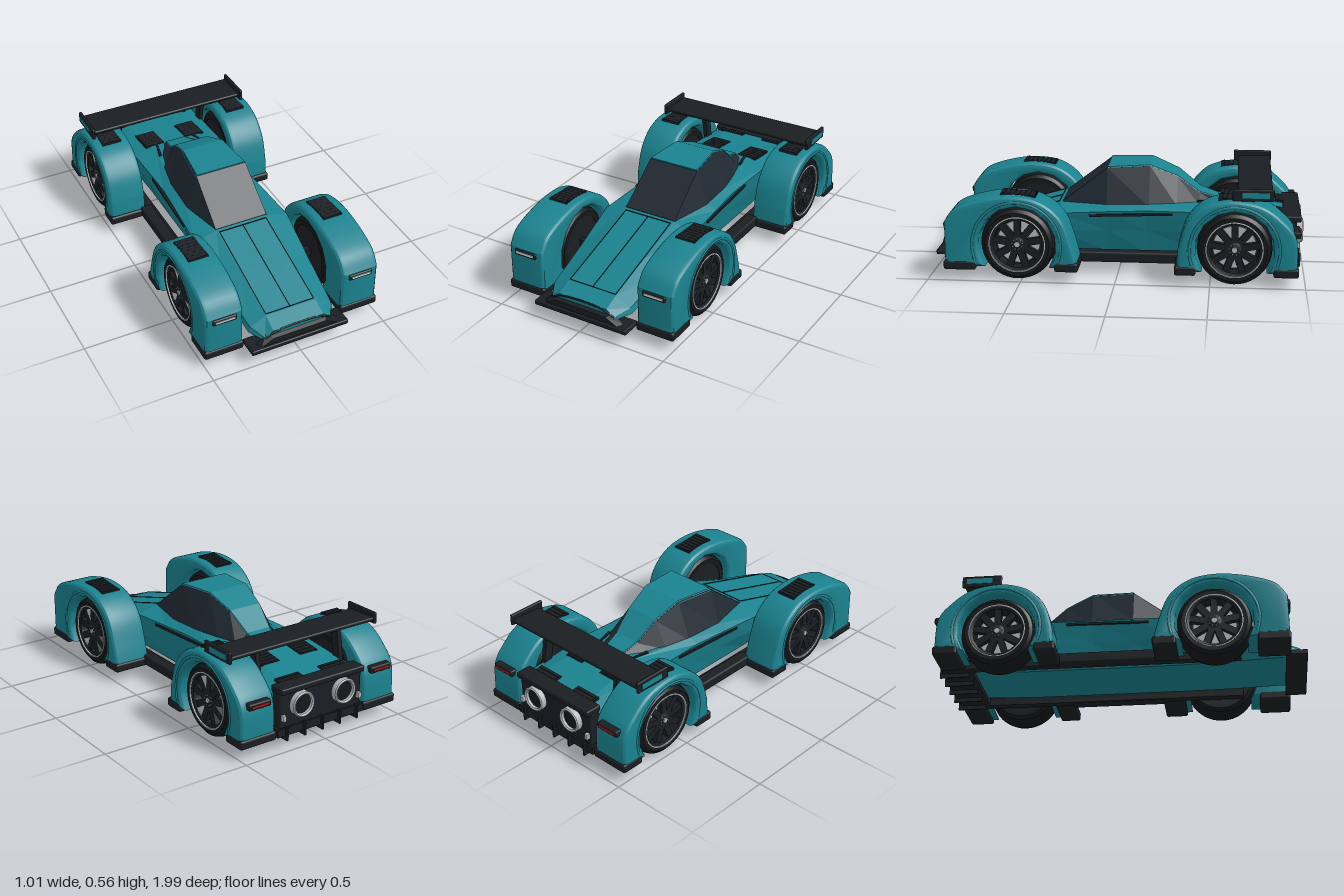
import * as THREE from 'three';
import { toCreasedNormals } from 'three/addons/utils/BufferGeometryUtils.js';
import { RoundedBoxGeometry } from 'three/addons/geometries/RoundedBoxGeometry.js';

const mat = (color, side = THREE.FrontSide) => new THREE.MeshStandardMaterial({ color, side });
const TEAL = mat(0x1a828f), DARK = mat(0x1a1e22), GLASS = mat(0x202932), TYRE = mat(0x15171a);
const METAL = mat(0xb4b8bb), LIGHT = mat(0xdfeaee), RED = mat(0xc01f24);

function add(parent, name, geo, material, x = 0, y = 0, z = 0) {
  const m = new THREE.Mesh(geo, material);
  m.name = name;
  m.position.set(x, y, z);
  parent.add(m);
  return m;
}

// Box given by its limits on each axis
function box(parent, name, material, [x0, x1], [y0, y1], [z0, z1], r = 0) {
  const s = [x1 - x0, y1 - y0, z1 - z0];
  const geo = r ? new RoundedBoxGeometry(...s, 2, r) : new THREE.BoxGeometry(...s);
  return add(parent, name, geo, material, (x0 + x1) / 2, (y0 + y1) / 2, (z0 + z1) / 2);
}

// Straight bar between two points
function bar(parent, name, material, a, b, w, h) {
  const p = new THREE.Vector3(...a), q = new THREE.Vector3(...b);
  const m = add(parent, name, new THREE.BoxGeometry(w, h, p.distanceTo(q)), material);
  m.position.copy(p).lerp(q, 0.5);
  m.lookAt(q);
  return m;
}

// Faceted loft through mirrored half sections, front to back: [z, [x, y], ...] from bottom to top
function loft(sections) {
  const rings = sections.map(([z, ...half]) =>
    [...half, ...half.slice().reverse().map(([x, y]) => [-x, y])].map(([x, y]) => [x, y, z]));
  const n = rings[0].length, pos = [];
  const tri = (...p) => p.forEach(v => pos.push(...v));
  for (let s = 0; s < rings.length - 1; s++) {
    for (let i = 0; i < n; i++) {
      const a = rings[s], b = rings[s + 1], j = (i + 1) % n;
      tri(a[i], b[i], a[j]);
      tri(a[j], b[i], b[j]);
    }
  }
  const f = rings[0], e = rings[rings.length - 1];
  for (let i = 1; i < n - 1; i++) {
    tri(f[0], f[i], f[i + 1]);
    tri(e[0], e[i + 1], e[i]);
  }
  const g = new THREE.BufferGeometry();
  g.setAttribute('position', new THREE.Float32BufferAttribute(pos, 3));
  g.computeVertexNormals();
  return g;
}

// Fender: closed arch profile in (z, y), extruded across x
const WHEEL = { front: 0.52, rear: -0.626 };
const PROFILE = {
  front: [[0.906, 0.08], [0.906, 0.32], [0.84, 0.4], [0.68, 0.452], [0.52, 0.466], [0.385, 0.435], [0.28, 0.345], [0.225, 0.2], [0.195, 0.08]],
  rear: [[-0.955, 0.08], [-0.945, 0.27], [-0.87, 0.37], [-0.77, 0.44], [-0.65, 0.466], [-0.55, 0.46], [-0.45, 0.42], [-0.37, 0.33], [-0.33, 0.2], [-0.322, 0.08]],
};

function fenderGeometry(end) {
  const pts = PROFILE[end].map(p => new THREE.Vector2(...p));
  if (end === 'rear') pts.reverse();
  const cz = WHEEL[end], r = 0.208, a = Math.asin(0.12 / r), w = 0.217, b = 0.026;
  const s = new THREE.Shape();
  s.moveTo(pts[0].x, pts[0].y);
  s.lineTo(pts[1].x, pts[1].y);
  s.splineThru(pts.slice(2));
  s.absarc(cz, 0.2, r, Math.PI + a, -a, true);
  s.closePath();
  const g = new THREE.ExtrudeGeometry(s, { depth: w - 2 * b, bevelThickness: b, bevelSize: b, bevelOffset: -b, bevelSegments: 3, curveSegments: 5 });
  g.rotateY(-Math.PI / 2).translate(0.502 - b, 0, 0);
  return toCreasedNormals(g, 0.45);
}

// Height and slope on a fender crown
function crown(end, z) {
  const curve = new THREE.SplineCurve(PROFILE[end].slice(1).map(p => new THREE.Vector2(...p)));
  const p = curve.getPoints(200);
  let i = 1;
  p.forEach((v, k) => { if (k < 200 && Math.abs(v.x - z) < Math.abs(p[i].x - z)) i = k; });
  const d = p[i + 1].clone().sub(p[i]);
  return { y: p[i].y, tilt: -Math.atan(d.y / d.x) };
}

// Wheel facing +x
function wheel() {
  const g = new THREE.Group();
  const lathe = (name, pts, m) => {
    const geo = new THREE.LatheGeometry(pts.map(p => new THREE.Vector2(...p)), 40);
    return add(g, name, toCreasedNormals(geo.rotateZ(-Math.PI / 2), 0.6), m);
  };
  lathe('tyre', [[0.145, -0.084], [0.172, -0.085], [0.19, -0.07], [0.197, -0.045], [0.197, 0.045], [0.19, 0.07], [0.172, 0.085], [0.15, 0.084], [0.145, 0.07], [0.145, -0.084]], TYRE);
  lathe('rimLip', [[0.144, 0.06], [0.151, 0.06], [0.151, 0.086], [0.144, 0.088], [0.144, 0.06]], METAL);
  lathe('rimBarrel', [[0, -0.08], [0.146, -0.08], [0.146, 0.08], [0.13, 0.074], [0.126, 0.01], [0, 0.01]], DARK);
  lathe('brakeDisc', [[0.115, 0.005], [0.115, 0.025], [0.05, 0.025], [0, 0.025]], METAL);
  lathe('hub', [[0.045, 0.02], [0.042, 0.068], [0.03, 0.076], [0, 0.076]], DARK);
  lathe('hubNut', [[0.014, 0.07], [0.014, 0.082], [0, 0.082]], METAL);
  for (let i = 0; i < 9; i++) {
    const spoke = new THREE.Group();
    spoke.name = 'spoke';
    spoke.rotation.x = i * Math.PI * 2 / 9;
    add(spoke, 'spokeArm', new THREE.BoxGeometry(0.03, 0.125, 0.036), DARK, 0.056, 0.08, 0);
    add(spoke, 'wheelBolt', new THREE.SphereGeometry(0.004, 8, 6), METAL, 0.076, 0.028, 0);
    g.add(spoke);
  }
  return g;
}

// Slatted vent set into a surface
function louvre(parent, name, w, l, slats, x, y, z, tilt) {
  const g = new THREE.Group();
  g.name = name;
  g.position.set(x, y, z);
  g.rotation.x = tilt;
  add(g, 'ventFrame', new THREE.BoxGeometry(w, 0.014, l), DARK);
  for (let i = 0; i < slats; i++)
    add(g, 'ventSlat', new THREE.BoxGeometry(w * 0.9, 0.004, l / slats * 0.6), DARK, 0, 0.007, (i + 0.5) * l / slats - l / 2).rotation.x = 0.2;
  parent.add(g);
}

// Everything that repeats on the left (+x) side
function sideParts() {
  const g = new THREE.Group();
  for (const end of ['front', 'rear']) {
    const cz = WHEEL[end];
    const f = new THREE.Group();
    f.name = end + 'Corner';
    g.add(f);
    add(f, end + 'Fender', fenderGeometry(end), TEAL);
    const lip = add(f, 'archLip', new THREE.TorusGeometry(0.236, 0.009, 6, 32, Math.PI * 1.22), TEAL, 0.498, 0.2, cz);
    lip.rotation.set(0, Math.PI / 2, 0);
    lip.geometry.rotateZ(-Math.PI * 0.11);
    const w = wheel();
    w.name = end + 'Wheel';
    w.position.set(0.39, 0.2, cz);
    f.add(w);
    const skirts = end === 'front' ? [[0.74, 0.912], [0.195, 0.32]] : [[-0.962, -0.83], [-0.425, -0.312]];
    skirts.forEach(z => box(f, 'fenderSkirt', DARK, [0.284, 0.505], [0.062, 0.112], z, 0.012));
    const vz = end === 'front' ? 0.515 : -0.63, c = crown(end, vz);
    louvre(f, 'fenderVent', 0.112, 0.185, 7, 0.392, c.y - 0.006, vz, c.tilt);
    bar(f, 'axle', DARK, [0.15, 0.2, cz], [0.33, 0.2, cz], 0.04, 0.04);
  }
  // Lamps
  box(g, 'headlightHousing', DARK, [0.325, 0.46], [0.28, 0.313], [0.88, 0.915], 0.008);
  box(g, 'headlightStrip', LIGHT, [0.339, 0.447], [0.292, 0.303], [0.9, 0.919]);
  box(g, 'tailLightHousing', DARK, [0.325, 0.46], [0.265, 0.3], [-0.968, -0.92], 0.008);
  box(g, 'tailLightStrip', RED, [0.339, 0.447], [0.277, 0.288], [-0.973, -0.94]);
  // Sills and door crease
  box(g, 'outerSill', DARK, [0.25, 0.318], [0.067, 0.125], [-0.33, 0.23], 0.01);
  box(g, 'innerSill', DARK, [0.235, 0.283], [0.07, 0.112], [-0.82, 0.65]);
  bar(g, 'doorCrease', DARK, [0.265, 0.312, 0.16], [0.251, 0.325, -0.29], 0.012, 0.012);
  // Wing end plate and post
  box(g, 'wingEndPlate', DARK, [0.46, 0.478], [0.465, 0.528], [-0.825, -0.61], 0.006);
  box(g, 'endPlateInset', TEAL, [0.475, 0.481], [0.482, 0.512], [-0.8, -0.66]);
  bar(g, 'wingPost', DARK, [0.265, 0.12, -0.8], [0.265, 0.485, -0.74], 0.024, 0.05);
  // Exhaust
  const ring = [[0.035, -0.03], [0.066, -0.06], [0.068, 0.014], [0.062, 0.02], [0.053, 0.014], [0.049, -0.05]];
  const pipe = new THREE.LatheGeometry(ring.map(p => new THREE.Vector2(...p)), 32).rotateX(-Math.PI / 2);
  add(g, 'exhaustRing', toCreasedNormals(pipe, 0.6), mat(0xb4b8bb, THREE.DoubleSide), 0.135, 0.226, -0.972);
  add(g, 'exhaustBore', new THREE.CylinderGeometry(0.054, 0.054, 0.02, 24).rotateX(Math.PI / 2), TYRE, 0.135, 0.226, -0.962);
  box(g, 'rearMarker', METAL, [0.235, 0.255], [0.155, 0.185], [-0.975, -0.955]);
  // Deck vents and hood seam
  louvre(g, 'deckVent', 0.115, 0.16, 6, 0.125, 0.352, -0.62, -0.13);
  louvre(g, 'rearDeckVent', 0.15, 0.05, 2, 0.14, 0.326, -0.87, -0.13);
  bar(g, 'deckSeam', DARK, [0.145, 0.374, -0.42], [0.115, 0.364, -0.54], 0.014, 0.012);
  [[0.335, 0.357, 0.6, 0.281], [0.6, 0.281, 0.87, 0.204]].forEach(([z0, y0, z1, y1]) =>
    bar(g, 'hoodSeam', DARK, [0.14, y0, z0], [0.14, y1, z1], 0.003, 0.006));
  return g;
}

export function createModel() {
  const car = new THREE.Group();
  car.name = 'raceCar';

  // Faceted central body over a narrow flat floor
  add(car, 'body', loft([
    [0.965, [0.18, 0.1], [0.195, 0.12], [0.19, 0.135], [0.145, 0.168]],
    [0.88, [0.19, 0.1], [0.245, 0.13], [0.235, 0.16], [0.145, 0.201]],
    [0.6, [0.185, 0.09], [0.25, 0.17], [0.257, 0.235], [0.146, 0.28]],
    [0.32, [0.18, 0.085], [0.255, 0.22], [0.278, 0.325], [0.15, 0.36]],
    [0.06, [0.18, 0.085], [0.225, 0.22], [0.262, 0.335], [0.21, 0.36]],
    [-0.15, [0.18, 0.085], [0.215, 0.22], [0.248, 0.34], [0.205, 0.365]],
    [-0.5, [0.18, 0.085], [0.23, 0.22], [0.258, 0.34], [0.14, 0.37]],
    [-0.9, [0.19, 0.1], [0.265, 0.2], [0.275, 0.29], [0.19, 0.32]],
  ]), TEAL);

  // Glass cabin and painted roof
  const cabin = [[0.07, 0.21, 0.148, 0.55], [-0.16, 0.205, 0.124, 0.56], [-0.31, 0.178, 0.1, 0.498], [-0.43, 0.148, 0.078, 0.405], [-0.53, 0.115, 0.062, 0.372]];
  add(car, 'cabinGlass', loft([
    [0.315, [0.155, 0.35], [0.153, 0.362]],
    ...cabin.map(([z, xb, xt, y]) => [z, [xb, 0.352], [xt, y]]),
  ]), GLASS);
  add(car, 'roof', loft(cabin.map(([z, , xt, y]) => [z, [xt + 0.003, y - 0.008], [xt - 0.004, y + 0.006]])), TEAL);

  // Hood panel seams
  bar(car, 'hoodCentreSeam', DARK, [0, 0.357, 0.335], [0, 0.281, 0.6], 0.003, 0.006);
  bar(car, 'hoodCentreSeam', DARK, [0, 0.281, 0.6], [0, 0.204, 0.87], 0.003, 0.006);
  box(car, 'hoodRearSeam', DARK, [-0.14, 0.14], [0.35, 0.359], [0.334, 0.338]);
  box(car, 'hoodFrontSeam', DARK, [-0.14, 0.14], [0.198, 0.206], [0.868, 0.872]);

  // Nose mouth and splitter
  const nose = new THREE.CatmullRomCurve3([[-0.19, 0.135], [-0.13, 0.16], [0, 0.17], [0.13, 0.16], [0.19, 0.135]].map(([x, y]) => new THREE.Vector3(x, y, 0.966)));
  add(car, 'noseLip', new THREE.TubeGeometry(nose, 24, 0.005, 6), DARK);
  add(car, 'noseMouth', loft([[0.985, [0.22, 0.1], [0.15, 0.135]], [0.95, [0.24, 0.1], [0.18, 0.15]]]), DARK);
  box(car, 'splitter', DARK, [-0.28, 0.28], [0.075, 0.102], [0.885, 1], 0.006);

  // Rear panel, diffuser and fins
  box(car, 'rearPanel', DARK, [-0.265, 0.265], [0.1, 0.315], [-0.955, -0.89], 0.01);
  box(car, 'rearPanelCap', DARK, [-0.268, 0.268], [0.3, 0.333], [-0.978, -0.885], 0.008);
  box(car, 'diffuser', DARK, [-0.28, 0.28], [0.07, 0.115], [-0.965, -0.8]);
  for (let i = -2; i <= 2; i++)
    box(car, 'diffuserFin', DARK, [i * 0.114 - 0.005, i * 0.114 + 0.005], [0.047, 0.12], [-0.98, -0.82]);

  // Rear wing
  const blade = box(car, 'rearWing', DARK, [-0.465, 0.465], [0.478, 0.499], [-0.82, -0.635], 0.008);
  blade.rotation.x = 0.03;

  // Left side and its mirror
  const left = sideParts(), right = sideParts();
  left.name = 'leftSide';
  right.name = 'rightSide';
  right.scale.x = -1;
  car.add(left, right);
  return car;
}
